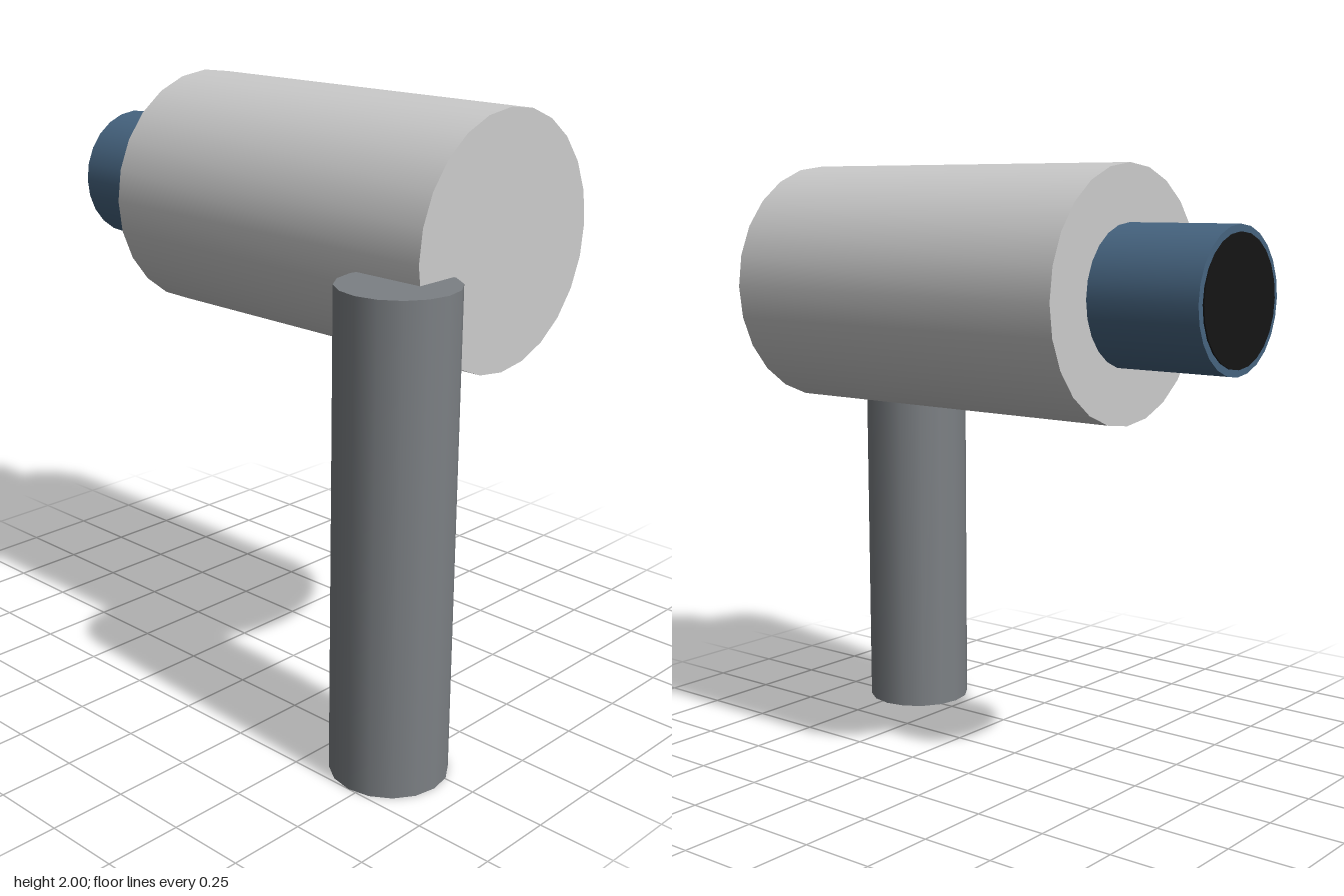
import * as THREE from 'three';

const AXIS_Y = 1.6;
const AXIS_Z = -0.1;

function addCylinder(group, name, color, radius, length, sides) {
  const mesh = new THREE.Mesh(
    new THREE.CylinderGeometry(radius, radius, length, sides),
    new THREE.MeshStandardMaterial({ color })
  );
  mesh.name = name;
  group.add(mesh);
  return mesh;
}

// Cylinder lying along x on the shared barrel axis
function addBarrelPart(group, name, color, radius, x0, x1, sides) {
  const mesh = addCylinder(group, name, color, radius, x1 - x0, sides);
  mesh.rotation.z = Math.PI / 2;
  mesh.position.set((x0 + x1) / 2, AXIS_Y, AXIS_Z);
}

export function createModel() {
  const model = new THREE.Group();
  model.name = 'hairDryer';

  // Main housing, nozzle and dark air outlet share one axis
  addBarrelPart(model, 'body', 0xcccccc, 0.4, -0.52, 0.78, 24);
  addBarrelPart(model, 'nozzle', 0x466480, 0.222, -0.905, -0.5, 24);
  addBarrelPart(model, 'airOutlet', 0x141414, 0.2, -0.91, -0.86, 24);

  // Upright handle, sunk into the front lower edge of the body
  const handle = addCylinder(model, 'handle', 0x7c8084, 0.185, 1.54, 16);
  handle.position.set(0.72, 0.77, 0.315);

  return model;
}
